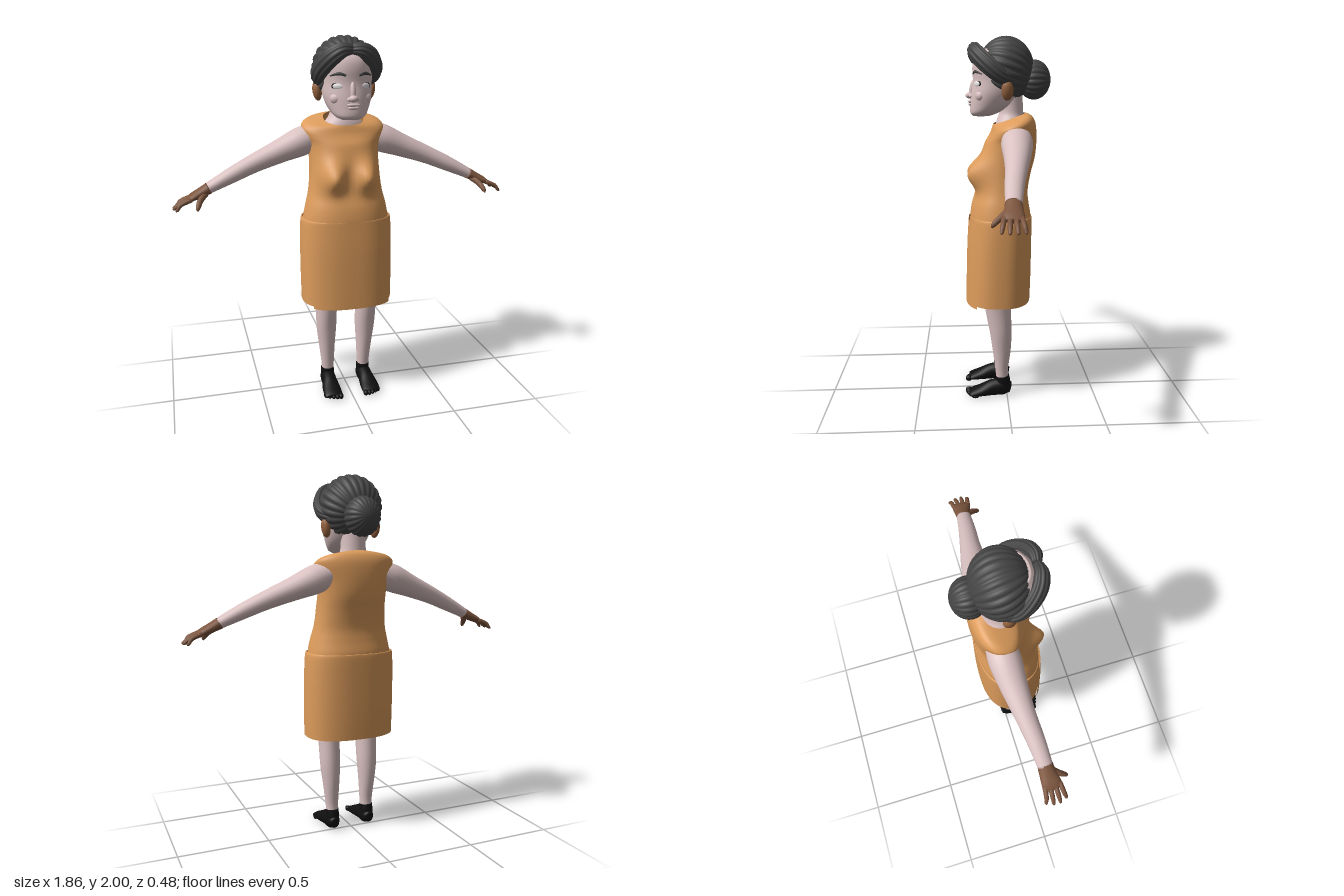
import * as THREE from 'three';

const mat = (name, color, side = THREE.FrontSide) => {
  const m = new THREE.MeshStandardMaterial({ color, side });
  m.name = name;
  return m;
};

// Catmull-Rom value through the rows at parameter u
function sample(rows, u) {
  const i = Math.min(Math.floor(u), rows.length - 2), t = u - i;
  const at = k => rows[Math.max(0, Math.min(rows.length - 1, k))];
  return rows[i].map((_, c) => {
    const a = at(i - 1)[c], b = at(i)[c], d = at(i + 1)[c], e = at(i + 2)[c];
    return b + 0.5 * t * (d - a + t * (2 * a - 5 * b + 4 * d - e + t * (3 * (b - d) + e - a)));
  });
}

// Smooth skin over cross-sections [x, y, z, radius along side, other radius]
function loft(rows, o = {}) {
  const { n = 24, steps = 5, exp = 2, side = [0, 0, 1], axis, from = 0, to = Math.PI * 2,
    cap = true, ridges = 0, depth = 0.1, warp } = o;
  const closed = to - from > 6.28, cols = closed ? n : n + 1;
  const total = (rows.length - 1) * steps, rings = [];
  for (let j = 0; j <= total; j++) rings.push(sample(rows, j / steps));
  if (cap) {
    rings.unshift([...rings[0].slice(0, 3), 1e-4, 1e-4]);
    rings.push([...rings[rings.length - 1].slice(0, 3), 1e-4, 1e-4]);
  }
  const pos = [], idx = [], P = r => new THREE.Vector3(r[0], r[1], r[2]);
  const pow = v => Math.sign(v) * Math.abs(v) ** (2 / exp);
  rings.forEach((r, j) => {
    const lo = rings[Math.max(j - 2, 0)], hi = rings[Math.min(j + 2, rings.length - 1)];
    const T = axis ? new THREE.Vector3(...axis) : P(hi).sub(P(lo)).normalize();
    const S = new THREE.Vector3(...side);
    S.addScaledVector(T, -S.dot(T)).normalize();
    const U = T.clone().cross(S);
    for (let i = 0; i < cols; i++) {
      const a = from + (to - from) * i / n;
      const k = ridges ? 1 - depth + depth * Math.abs(Math.sin(ridges * a)) : 1;
      const p = P(r).addScaledVector(S, r[3] * k * pow(Math.cos(a))).addScaledVector(U, r[4] * k * pow(Math.sin(a)));
      if (warp) warp(p);
      pos.push(p.x, p.y, p.z);
    }
  });
  for (let j = 0; j < rings.length - 1; j++) for (let i = 0; i < n; i++) {
    const a = j * cols + i, b = j * cols + (i + 1) % cols;
    idx.push(a, b, b + cols, a, b + cols, a + cols);
  }
  const g = new THREE.BufferGeometry();
  g.setAttribute('position', new THREE.Float32BufferAttribute(pos, 3));
  g.setIndex(idx);
  g.computeVertexNormals();
  return g;
}

// Horizontal sections [y, half width, front z, back z]
const body = (rows, o) => loft(rows.map(([y, w, f, b]) => [0, y, (f + b) / 2, (f - b) / 2, w]),
  { axis: [0, 1, 0], n: 64, ...o });

// Ball of combed strands that gather at a pole facing backwards
function strandBall(rx, ry, rz, ridges, tilt) {
  const g = new THREE.SphereGeometry(1, 144, 32), p = g.attributes.position;
  for (let i = 0; i < p.count; i++) {
    const k = 0.95 + 0.06 * Math.abs(Math.sin(ridges * Math.atan2(p.getZ(i), p.getX(i))));
    p.setXYZ(i, p.getX(i) * k, p.getY(i), p.getZ(i) * k);
  }
  g.rotateX(-Math.PI / 2 - tilt).scale(rx, ry, rz);
  g.computeVertexNormals();
  return g;
}

export function createModel() {
  const group = new THREE.Group();
  const dress = mat('dress orange', 0xdd9c5c, THREE.DoubleSide);
  const skin = mat('pale skin', 0xdac1c1), hand = mat('hand brown', 0x7d563f), ear = mat('ear brown', 0x96633f);
  const hair = mat('grey hair', 0x444444), foot = mat('black feet', 0x0f0f0f), white = mat('eye white', 0xf4f0f0);
  const add = (name, geo, m) => {
    const mesh = new THREE.Mesh(geo, m);
    mesh.name = name;
    group.add(mesh);
    return mesh;
  };
  const ball = (name, m, p, r) => {
    const b = add(name, new THREE.SphereGeometry(1, 24, 16), m);
    b.position.set(...p);
    b.scale.set(...r);
    return b;
  };

  // Dress bodice, with bust and sloping neckline
  add('bodice', body([
    [1.0, 0.24, 0.2, -0.135], [1.05, 0.234, 0.198, -0.135], [1.11, 0.222, 0.187, -0.125],
    [1.18, 0.205, 0.163, -0.12], [1.27, 0.193, 0.145, -0.135], [1.36, 0.19, 0.135, -0.158],
    [1.44, 0.198, 0.115, -0.166], [1.5, 0.222, 0.095, -0.163], [1.535, 0.225, 0.082, -0.15],
    [1.56, 0.19, 0.074, -0.13], [1.577, 0.11, 0.068, -0.105],
  ], {
    exp: 2.3, steps: 6, cap: false,
    warp: p => {
      if (p.z > 0) p.z += 0.08 * Math.exp(-(((Math.abs(p.x) - 0.095) / 0.062) ** 2) - ((p.y - 1.275) / 0.075) ** 2);
      p.y -= (p.z + 0.04) * 0.35 * THREE.MathUtils.smoothstep(p.y, 1.42, 1.56);
    },
  }), dress);

  // Skirt and the apron panel wrapped round its front
  add('skirt', body([
    [0.56, 0.253, 0.217, -0.132], [0.7, 0.255, 0.215, -0.137], [0.88, 0.255, 0.208, -0.14],
    [1.02, 0.25, 0.2, -0.141], [1.04, 0.24, 0.198, -0.137],
  ], { exp: 2.5, cap: false }), dress);
  add('apronPanel', body([
    [0.55, 0.262, 0.227, -0.138], [0.7, 0.262, 0.223, -0.14], [0.88, 0.261, 0.217, -0.143], [1.02, 0.256, 0.208, -0.145],
  ], { exp: 2.5, cap: false, from: -0.9, to: 0.9 }), dress);

  // Neck and head
  add('neck', body([
    [1.49, 0.13, 0.06, -0.1], [1.54, 0.11, 0.055, -0.1], [1.575, 0.082, 0.045, -0.098],
    [1.61, 0.07, 0.035, -0.095], [1.7, 0.068, 0.04, -0.09],
  ], { n: 32 }), skin);
  const headRows = [
    [1.582, 0.05, 0.178, 0.09], [1.6, 0.082, 0.193, 0.04], [1.64, 0.108, 0.193, -0.03], [1.7, 0.128, 0.188, -0.07],
    [1.77, 0.134, 0.178, -0.1], [1.84, 0.137, 0.18, -0.1], [1.89, 0.128, 0.168, -0.09], [1.935, 0.1, 0.13, -0.06],
  ];
  add('head', body(headRows, { exp: 2.15, n: 48 }), skin);
  ball('nose', skin, [0, 1.692, 0.194], [0.024, 0.018, 0.024]);
  ball('noseBridge', skin, [0, 1.73, 0.18], [0.015, 0.05, 0.017]).rotation.x = -0.2;
  ball('upperLip', skin, [0, 1.66, 0.193], [0.036, 0.009, 0.011]);
  ball('lowerLip', skin, [0, 1.645, 0.192], [0.03, 0.009, 0.011]);

  // Hair, bun and its combed strands
  add('hairCap', strandBall(0.172, 0.172, 0.152, 12, 0.3), hair).position.set(0, 1.83, 0);
  add('hairBun', strandBall(0.098, 0.106, 0.09, 10, 0), hair).position.set(0, 1.775, -0.152);

  for (const s of [1, -1]) {
    const side = s > 0 ? 'left' : 'right';
    const limb = (name, rows, m, o) => add(side + name, loft(rows.map(([x, ...r]) => [x * s, ...r]), o), m);
    const orb = (name, m, [x, y, z], r) => ball(side + name, m, [x * s, y, z], r);

    // Face details
    orb('EyeRim', foot, [0.071, 1.752, 0.153], [0.035, 0.023, 0.008]).rotation.y = s * 0.5;
    orb('Eye', white, [0.0725, 1.752, 0.156], [0.028, 0.016, 0.0085]).rotation.y = s * 0.5;
    limb('Eyebrow', [[0.035, 1.806, 0.176, 0.004, 0.005], [0.07, 1.816, 0.165, 0.005, 0.008], [0.108, 1.803, 0.132, 0.003, 0.003]],
      hair, { n: 8 });
    orb('Cheek', skin, [0.068, 1.69, 0.135], [0.042, 0.035, 0.033]);
    orb('Nostril', skin, [0.02, 1.688, 0.187], [0.012, 0.011, 0.014]);
    orb('Ear', ear, [0.147, 1.718, 0.0], [0.024, 0.052, 0.032]).rotation.z = -s * 0.15;

    // Swept fringe
    limb('Fringe', [
      [0.0, 1.935, 0.165, 0.022, 0.026], [0.05, 1.932, 0.172, 0.034, 0.04], [0.105, 1.895, 0.147, 0.038, 0.05],
      [0.146, 1.835, 0.085, 0.038, 0.05], [0.15, 1.785, 0.02, 0.03, 0.042], [0.125, 1.76, -0.05, 0.014, 0.022],
    ], hair, { n: 60, ridges: 5, depth: 0.13, side: [s * 0.6, 0.2, 0.8] });

    // Arm, palm, fingers and thumb
    limb('Arm', [
      [0.15, 1.475, -0.05, 0.075, 0.07], [0.23, 1.445, -0.045, 0.083, 0.078], [0.35, 1.398, -0.037, 0.07, 0.063],
      [0.49, 1.343, -0.022, 0.055, 0.05], [0.62, 1.285, -0.004, 0.047, 0.041], [0.745, 1.225, 0.008, 0.039, 0.029],
    ], skin);
    limb('Palm', [
      [0.735, 1.229, 0.008, 0.04, 0.031], [0.78, 1.207, 0.01, 0.044, 0.026], [0.825, 1.187, 0.015, 0.05, 0.02],
      [0.855, 1.172, 0.018, 0.044, 0.011],
    ], hand);
    for (let k = 0; k < 4; k++) {
      const w = k - 1.5, reach = 0.93 - 0.009 * Math.abs(w) ** 1.5;
      limb('Finger' + (k + 1), [
        [0.83, 1.182, 0.017 + w * 0.026, 0.013, 0.013], [0.885, 1.16, 0.018 + w * 0.031, 0.012, 0.011],
        [reach - 0.01, 1.135, 0.018 + w * 0.035, 0.009, 0.008], [reach, 1.13, 0.018 + w * 0.0355, 0.004, 0.004],
      ], hand, { n: 10, steps: 3 });
    }
    limb('Thumb', [
      [0.755, 1.205, 0.025, 0.018, 0.018], [0.785, 1.178, 0.065, 0.016, 0.016],
      [0.8, 1.148, 0.1, 0.012, 0.012], [0.803, 1.133, 0.11, 0.004, 0.004],
    ], hand, { n: 12, side: [1, 0, 0] });

    // Leg
    limb('Leg', [
      [0.108, 0.08, 0.025, 0.034, 0.034], [0.108, 0.15, 0.03, 0.036, 0.037], [0.112, 0.27, 0.03, 0.051, 0.047],
      [0.115, 0.38, 0.035, 0.061, 0.057], [0.116, 0.5, 0.048, 0.07, 0.059], [0.117, 0.62, 0.058, 0.078, 0.063],
      [0.118, 0.8, 0.055, 0.085, 0.075],
    ], skin);

    // Foot, ankle and toes
    limb('Ankle', [
      [0.108, 0.03, 0.02, 0.042, 0.038], [0.108, 0.08, 0.023, 0.042, 0.038], [0.108, 0.115, 0.026, 0.038, 0.037],
    ], foot);
    limb('Foot', [
      [0.108, 0.04, -0.02, 0.025, 0.03], [0.108, 0.048, 0.02, 0.041, 0.05], [0.11, 0.044, 0.08, 0.043, 0.046],
      [0.112, 0.03, 0.14, 0.051, 0.033], [0.112, 0.02, 0.195, 0.052, 0.02], [0.112, 0.016, 0.213, 0.045, 0.012],
    ], foot, { side: [1, 0, 0], warp: p => { p.y = Math.max(p.y, 0); } });
    for (let k = 0; k < 5; k++) {
      const r = 0.0165 - k * 0.0018;
      orb('Toe' + (k + 1), foot, [0.074 + k * 0.0205, r, 0.217 - k * k * 0.0022], [r * 0.85, r, 0.02]);
    }
  }
  return group;
}
